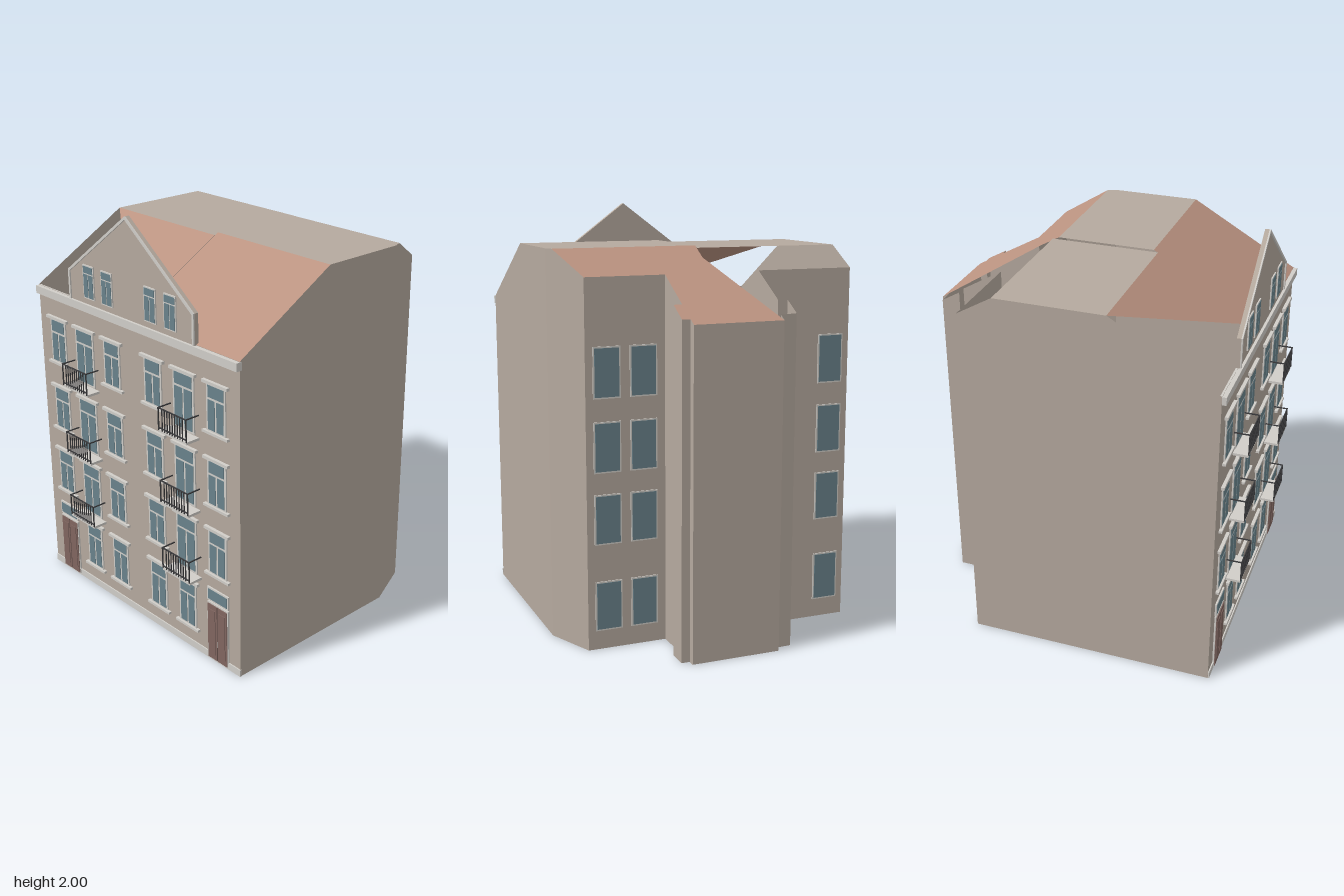
import * as THREE from 'three';

const mat = (name, color, side = THREE.FrontSide) => {
  const m = new THREE.MeshStandardMaterial({ color, side });
  m.name = name;
  return m;
};

export function createModel() {
  const wall = mat('plaster', 0xb5a99e, THREE.DoubleSide);
  const tile = mat('roof tile', 0xbb9381, THREE.DoubleSide);
  const trim = mat('pale trim', 0xd0cdc8);
  const glass = mat('window glass', 0x69828b);
  const wood = mat('door wood', 0x806660);
  const iron = mat('railing iron', 0x3a3a3c);

  const root = new THREE.Group();
  root.name = 'townHouse';

  const group = (parent, name) => {
    const g = new THREE.Group();
    g.name = name;
    parent.add(g);
    return g;
  };
  // box given by its centre in x, bottom y, back z and size
  const box = (parent, name, m, x, y, z, w, h, d) => {
    const mesh = new THREE.Mesh(new THREE.BoxGeometry(w, h, d), m);
    mesh.name = name;
    mesh.position.set(x, y + h / 2, z + d / 2);
    parent.add(mesh);
    return mesh;
  };
  // flat polygon in plan [x, z], lifted by a height rule
  const sheet = (name, m, pts, height) => {
    const geo = new THREE.ShapeGeometry(new THREE.Shape(pts.map(([x, z]) => new THREE.Vector2(x, -z))));
    geo.rotateX(-Math.PI / 2);
    const p = geo.attributes.position;
    for (let i = 0; i < p.count; i++) p.setY(i, height(p.getX(i), p.getZ(i)));
    geo.computeVertexNormals();
    const mesh = new THREE.Mesh(geo, m);
    mesh.name = name;
    root.add(mesh);
  };

  // ---- roof height along the depth
  const FRONT = 0.725, BACK = -0.47;
  const roofY = (x, z) => {
    const [top, f, b] = x >= 0 ? [1.83, 0.2, -0.27] : [1.82, 0.22, -0.3];
    if (z > f) return top - (z - f) / (FRONT - f) * (top - 1.53);
    if (z < b) return top - (b - z) / (b + 0.8) * (top - 1.53);
    return top;
  };

  // ---- outer walls around the plan, open at the top
  const plan = [
    [-0.713, FRONT], [0.71, FRONT], [0.71, 0.2], [0.71, -0.23], [0.693, -0.27], [0.61, BACK],
    [0.23, BACK], [0.23, -0.67], [0.27, -0.67], [0.27, -0.765], [0.23, -0.765], [0.23, -0.8],
    [-0.2, -0.8], [-0.2, -0.765], [-0.28, -0.76], [-0.28, -0.67], [-0.233, -0.67], [-0.233, BACK],
    [-0.713, BACK], [-0.713, -0.3], [-0.713, 0.22],
  ];
  const pos = [];
  plan.forEach(([ax, az], i) => {
    const [bx, bz] = plan[(i + 1) % plan.length];
    const ay = roofY(ax, az), by = roofY(bx, bz);
    pos.push(ax, 0, az, bx, 0, bz, bx, by, bz, ax, 0, az, bx, by, bz, ax, ay, az);
  });
  const wallGeo = new THREE.BufferGeometry();
  wallGeo.setAttribute('position', new THREE.Float32BufferAttribute(pos, 3));
  wallGeo.computeVertexNormals();
  const walls = new THREE.Mesh(wallGeo, wall);
  walls.name = 'walls';
  root.add(walls);
  sheet('floor', wall, plan, () => 0);

  // ---- roof: each half has its own flat top; the -x half is partly open
  const rightRoof = (x, z) => roofY(1, z), leftRoof = (x, z) => roofY(-1, z);
  sheet('flatRoofLeft', wall, [[0, 0.2], [0.71, 0.2], [0.71, -0.23], [0.693, -0.27], [0, -0.27]], rightRoof);
  sheet('flatRoofRight', wall, [[-0.713, 0.22], [0, 0.22], [0, -0.3], [-0.713, -0.3]], leftRoof);
  sheet('frontRoofLeft', tile, [[0, FRONT], [0.71, FRONT], [0.71, 0.2], [0, 0.2]], rightRoof);
  sheet('frontRoofRight', tile, [[0, FRONT], [0, 0.22], [-0.713, 0.22]], leftRoof);
  sheet('backRoof', tile, [
    [0, -0.27], [0.693, -0.27], [0.61, BACK], [0.23, BACK], [0.23, -0.67], [0.27, -0.67],
    [0.27, -0.765], [0.23, -0.765], [0.23, -0.8], [-0.2, -0.8], [0, -0.36],
  ], rightRoof);

  // ---- window: pale frame, two casements and a top light
  const windowUnit = (parent, x, y, w, h, { topLight = 0.055, bar = 0.011, ledge = 0.02, sill = true } = {}) => {
    const g = group(parent, 'window');
    box(g, 'frame', trim, x, y, 0, w, h, 0.006);
    const pw = (w - 3 * bar) / 2, low = h - topLight - 3 * bar;
    for (const s of [-1, 1]) box(g, 'casement', glass, x + s * (pw + bar) / 2, y + bar, 0.004, pw, low, 0.004);
    box(g, 'topLight', glass, x, y + h - bar - topLight, 0.004, w - 2 * bar, topLight, 0.004);
    if (ledge) {
      box(g, 'lintel', trim, x, y + h - 0.004, -0.006, w + 2 * ledge, 0.014, 0.022);
      if (sill) box(g, 'sill', trim, x, y - 0.008, -0.006, w + 2 * ledge, 0.012, 0.022);
    }
  };

  // ---- balcony: slab with an iron railing
  const balcony = (parent, x, y) => {
    const g = group(parent, 'balcony');
    box(g, 'slab', trim, x, y, 0, 0.19, 0.012, 0.072);
    const t = 0.005, top = y + 0.115, half = 0.0925;
    box(g, 'frontRail', iron, x, top, 0.07, 2 * half, t, t);
    box(g, 'lowerRail', iron, x, y + 0.02, 0.07, 2 * half, t, t);
    for (const s of [-1, 1]) {
      box(g, 'sideRail', iron, x + s * half, top, 0, t, t, 0.075);
      box(g, 'cornerPost', iron, x + s * half, y + 0.01, 0.07, t, 0.107, t);
    }
    for (let i = 0; i < 9; i++) box(g, 'baluster', iron, x - 0.068 + i * 0.017, y + 0.01, 0.07, 0.004, 0.107, 0.004);
  };

  // ---- front door with a light above
  const door = (parent, x) => {
    const g = group(parent, 'frontDoor');
    box(g, 'doorFrame', trim, x, 0.008, 0, 0.138, 0.3, 0.008);
    for (const s of [-1, 1]) {
      box(g, 'doorLeaf', wood, x + s * 0.033, 0.012, 0.005, 0.061, 0.288, 0.007);
      box(g, 'doorPanel', wood, x + s * 0.033, 0.04, 0.01, 0.04, 0.235, 0.005);
    }
    box(g, 'fanlightFrame', trim, x, 0.316, 0, 0.142, 0.068, 0.008);
    box(g, 'fanlight', glass, x, 0.324, 0.005, 0.126, 0.052, 0.005);
  };

  // ---- front facade
  const front = group(root, 'frontFacade');
  front.position.z = FRONT;
  box(front, 'plinth', trim, 0, 0, -0.004, 1.424, 0.035, 0.01);
  box(front, 'cornice', trim, 0, 1.49, -0.01, 1.424, 0.038, 0.03);
  const floors = [0.46, 0.805, 1.16];
  for (const s of [-1, 1]) {
    door(front, s * 0.567);
    for (const x of [0.357, 0.148]) windowUnit(front, s * x, 0.112, 0.118, 0.24);
    for (const y of floors) {
      for (const x of [0.567, 0.148]) windowUnit(front, s * x, y, 0.12, 0.226);
      windowUnit(front, s * 0.357, y - 0.05, 0.138, 0.276, { ledge: 0.015, sill: false });
      balcony(front, s * 0.357, y - 0.05 - 0.018);
    }
  }

  // ---- gable standing on the cornice
  const gable = group(root, 'gable');
  gable.position.z = 0.712;
  const outline = (k) => [[-0.443 + k, 1.528], [0.443 - k, 1.528], [0.443 - k, 1.67 - k * 0.5],
    [0, 2 - k * 1.25], [-0.443 + k, 1.67 - k * 0.5]].map(([x, y]) => new THREE.Vector2(x, y));
  const extrude = (name, shape, m, z, depth) => {
    const mesh = new THREE.Mesh(new THREE.ExtrudeGeometry(shape, { depth, bevelEnabled: false }), m);
    mesh.name = name;
    mesh.position.z = z;
    gable.add(mesh);
  };
  extrude('gableWall', new THREE.Shape(outline(0)), wall, 0, 0.02);
  const rim = new THREE.Shape([...outline(0).slice(1), outline(0)[0],
    ...[0, 4, 3, 2, 1].map((i) => outline(0.012)[i])]);
  extrude('gableEdging', rim, trim, 0.02, 0.007);
  const gableWindows = group(gable, 'gableWindows');
  gableWindows.position.z = 0.02;
  for (const x of [-0.288, -0.153, 0.153, 0.288]) {
    windowUnit(gableWindows, x, 1.557, 0.08, 0.16, { topLight: 0.032, bar: 0.006, ledge: 0 });
  }

  // ---- rear facade
  const rear = group(root, 'rearFacade');
  rear.position.z = BACK;
  rear.rotation.y = Math.PI;
  for (const x of [-0.51, -0.335, 0.335, 0.615]) {
    for (const y of [0.09, 0.5, 0.835, 1.175]) {
      const g = group(rear, 'rearWindow');
      box(g, 'frame', trim, x, y, 0, 0.13, 0.235, 0.005);
      box(g, 'pane', glass, x, y + 0.007, 0.003, 0.116, 0.221, 0.004);
    }
  }
  return root;
}
